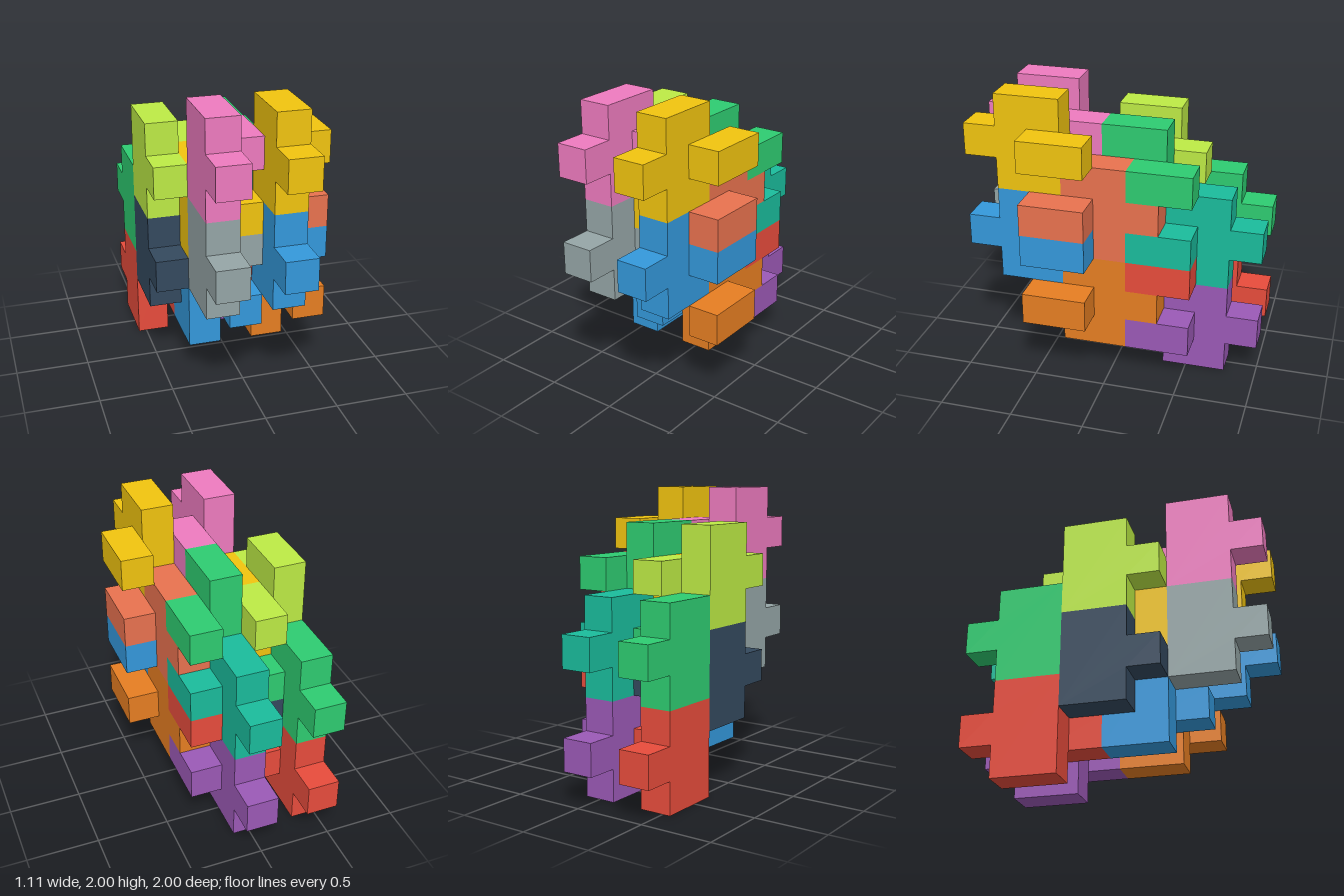
import * as THREE from 'three';
import { mergeGeometries } from 'three/addons/utils/BufferGeometryUtils.js';

const U = 2 / 9; // edge of one cube cell

// One interlocking block: a T-shaped slab, one cell thick, with a two-cell arm on its +x side.
// dir = 1 points the nose to the front, -1 to the back.
function blockGeometry(dir) {
  const profile = [[-1, -1.5], [1, -1.5], [1, -0.5], [2, -0.5], [2, 0.5], [1, 0.5], [1, 1.5], [-1, 1.5]];
  const shape = new THREE.Shape(profile.map(([z, y]) => new THREE.Vector2(z * dir * U, y * U)));
  const slab = new THREE.ExtrudeGeometry(shape, { depth: U, bevelEnabled: false });
  slab.translate(0, 0, -U / 2).rotateY(-Math.PI / 2);
  const arm = new THREE.BoxGeometry(U, U, 2 * U).toNonIndexed();
  arm.translate(U, 0, -dir * U);
  return mergeGeometries([slab, arm]);
}

const COLORS = {
  yellow: 0xf1c40f, blue: 0x3498db, salmon: 0xe9724f, orange: 0xe67e22,
  pink: 0xee7bbf, grey: 0x95a5a6, green: 0x2ecc71, red: 0xe74c3c,
  teal: 0x1abc9c, purple: 0x9b59b6, lime: 0xbdeb45, navy: 0x34495e,
};

// Each column: x cell, z of the front and back block centres, row of the lowest front block,
// then colours from bottom to top.
const COLUMNS = [
  { name: 'farRight', x: -2, z: [-0.5, -2.5], row: 3, front: ['navy', 'lime'], back: ['red', 'green'] },
  { name: 'innerRight', x: -1, z: [2.5, 0.5], row: 4, front: ['grey', 'pink'], back: ['blue', 'yellow'] },
  { name: 'middle', x: 0, z: [-0.5, -2.5], row: 3, front: ['red', 'green'], back: ['purple', 'teal'] },
  { name: 'innerLeft', x: 1, z: [2.5, 0.5], row: 4, front: ['blue', 'yellow'], back: ['orange', 'salmon'] },
];

export function createModel() {
  const model = new THREE.Group();
  model.name = 'interlockingBlocks';
  const frontGeometry = blockGeometry(1);
  const backGeometry = blockGeometry(-1);

  for (const col of COLUMNS) {
    const column = new THREE.Group();
    column.name = `${col.name}Column`;
    const addBlock = (geometry, color, row, z, side) => {
      const block = new THREE.Mesh(geometry, new THREE.MeshStandardMaterial({ color: COLORS[color] }));
      block.name = `${color}${side}Block`;
      block.position.set(col.x * U, (row + 0.5) * U, z * U);
      column.add(block);
    };
    // Blocks repeat every three rows; back blocks sit two rows lower
    for (let n = 0; n < 2; n++) {
      addBlock(frontGeometry, col.front[n], col.row + 3 * n, col.z[0], 'Front');
      addBlock(backGeometry, col.back[n], col.row - 2 + 3 * n, col.z[1], 'Back');
    }
    model.add(column);
  }
  return model;
}
